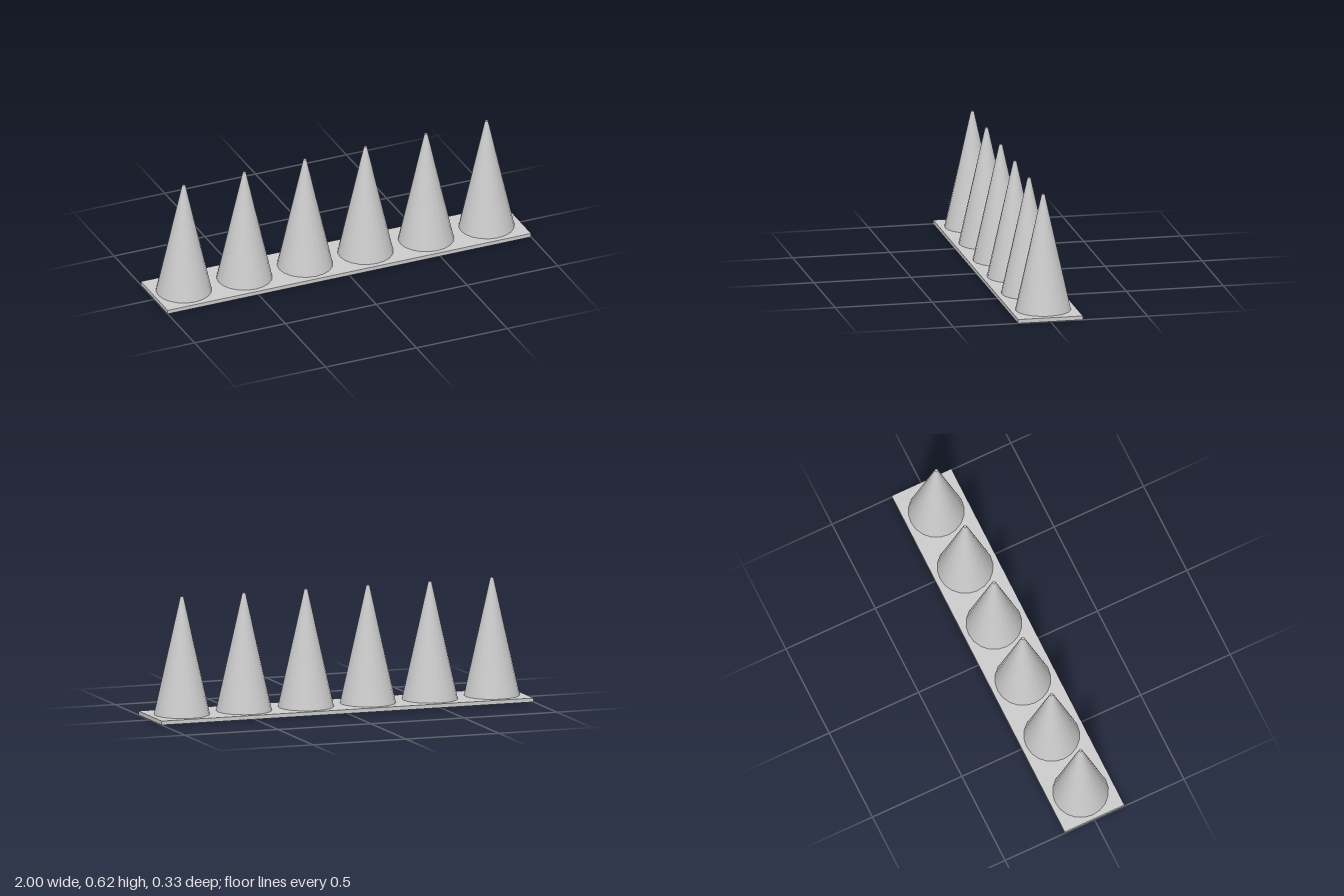
import * as THREE from 'three';

export function createModel() {
  const group = new THREE.Group();
  const material = new THREE.MeshStandardMaterial({ color: 0xcccccc });
  const plateHeight = 0.02, coneHeight = 0.6, count = 6, spacing = 1 / 3;

  // Flat strip the spikes stand on
  const plate = new THREE.Mesh(new THREE.BoxGeometry(2, plateHeight, 0.333), material);
  plate.name = 'basePlate';
  plate.position.y = plateHeight / 2;
  group.add(plate);

  // Row of blunt-tipped cones, set very slightly off centre on the strip
  const coneGeometry = new THREE.CylinderGeometry(0.008, 0.141, coneHeight, 20);
  for (let i = 0; i < count; i++) {
    const cone = new THREE.Mesh(coneGeometry, material);
    cone.name = `cone${i + 1}`;
    cone.position.set(-0.838 + i * spacing, plateHeight + coneHeight / 2, 0);
    group.add(cone);
  }
  return group;
}
